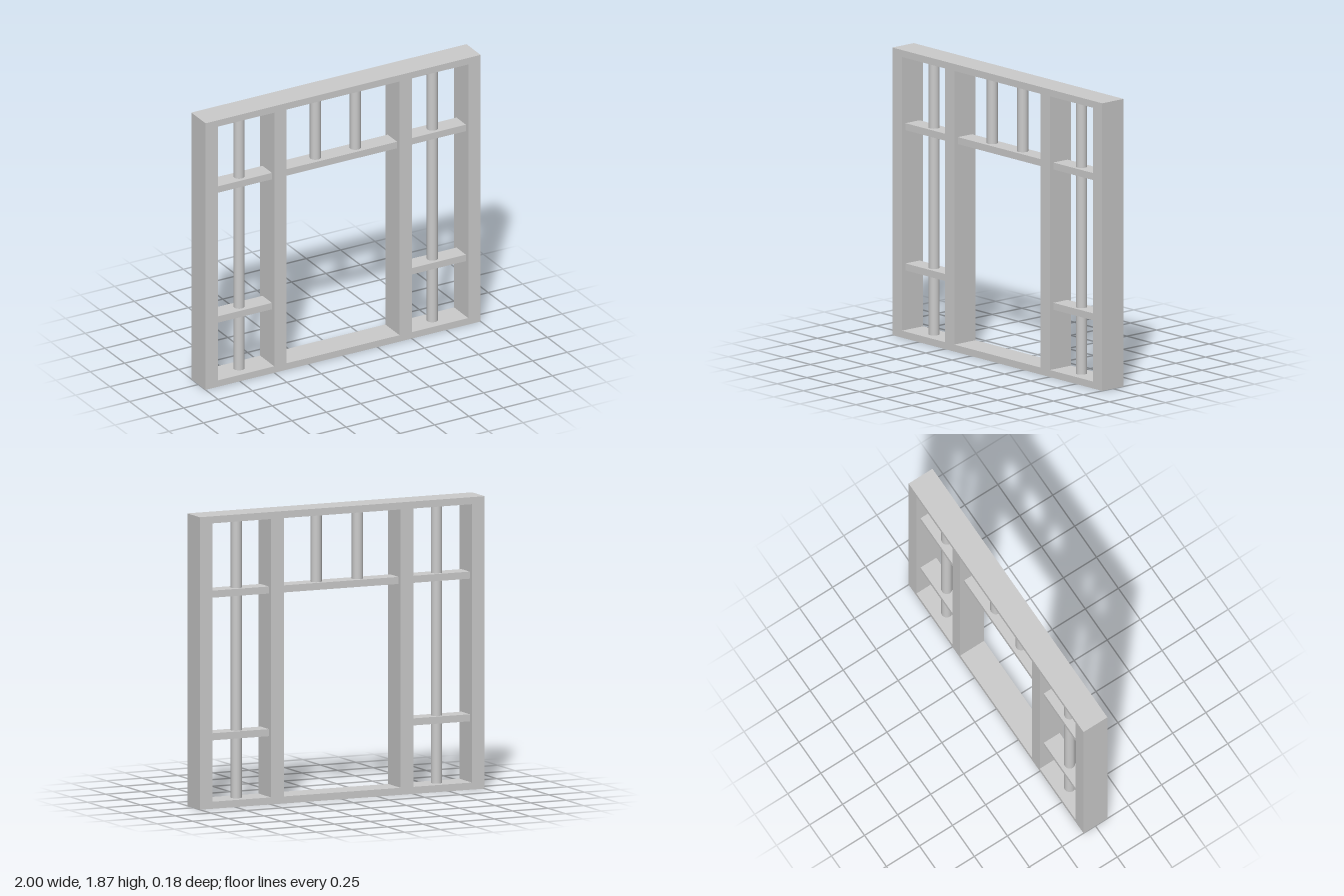
import * as THREE from 'three';

const H = 1.866, DEPTH = 0.18, RAIL = 0.045;
const mat = new THREE.MeshStandardMaterial({ color: 0xcccccc });

function rect(target, x0, y0, x1, y1) {
  target.moveTo(x0, y0);
  target.lineTo(x1, y0);
  target.lineTo(x1, y1);
  target.lineTo(x0, y1);
  target.closePath();
  return target;
}

export function createModel() {
  const group = new THREE.Group();
  const add = (name, geometry, x, y, z = 0) => {
    const mesh = new THREE.Mesh(geometry, mat);
    mesh.name = name;
    mesh.position.set(x, y, z);
    group.add(mesh);
  };

  // Outer frame with two mullions: one slab with three openings
  const frame = rect(new THREE.Shape(), -1, 0, 1, H);
  for (const [x0, x1] of [[-0.91, -0.5], [-0.41, 0.41], [0.5, 0.91]]) {
    frame.holes.push(rect(new THREE.Path(), x0, RAIL, x1, H - RAIL));
  }
  add('frame', new THREE.ExtrudeGeometry(frame, { depth: DEPTH, bevelEnabled: false }), 0, 0, -DEPTH / 2);

  // Cross rails, slightly recessed from the frame faces
  const rail = (name, x, y, width) =>
    add(name, new THREE.BoxGeometry(width, 0.045, 0.12), x, y);
  rail('centerCrossRail', 0, 1.364, 0.82);
  for (const [side, s] of [['left', 1], ['right', -1]]) {
    rail(side + 'UpperCrossRail', s * 0.705, 1.364, 0.41);
    rail(side + 'LowerCrossRail', s * 0.705, 0.454, 0.41);
  }

  // Round vertical bars
  const bar = (name, x, y0, y1) =>
    add(name, new THREE.CylinderGeometry(0.036, 0.036, y1 - y0, 16), x, (y0 + y1) / 2);
  bar('leftBar', 0.7, RAIL, H - RAIL);
  bar('rightBar', -0.705, RAIL, H - RAIL);
  bar('centerLeftBar', 0.14, 1.386, H - RAIL);
  bar('centerRightBar', -0.15, 1.386, H - RAIL);

  return group;
}
